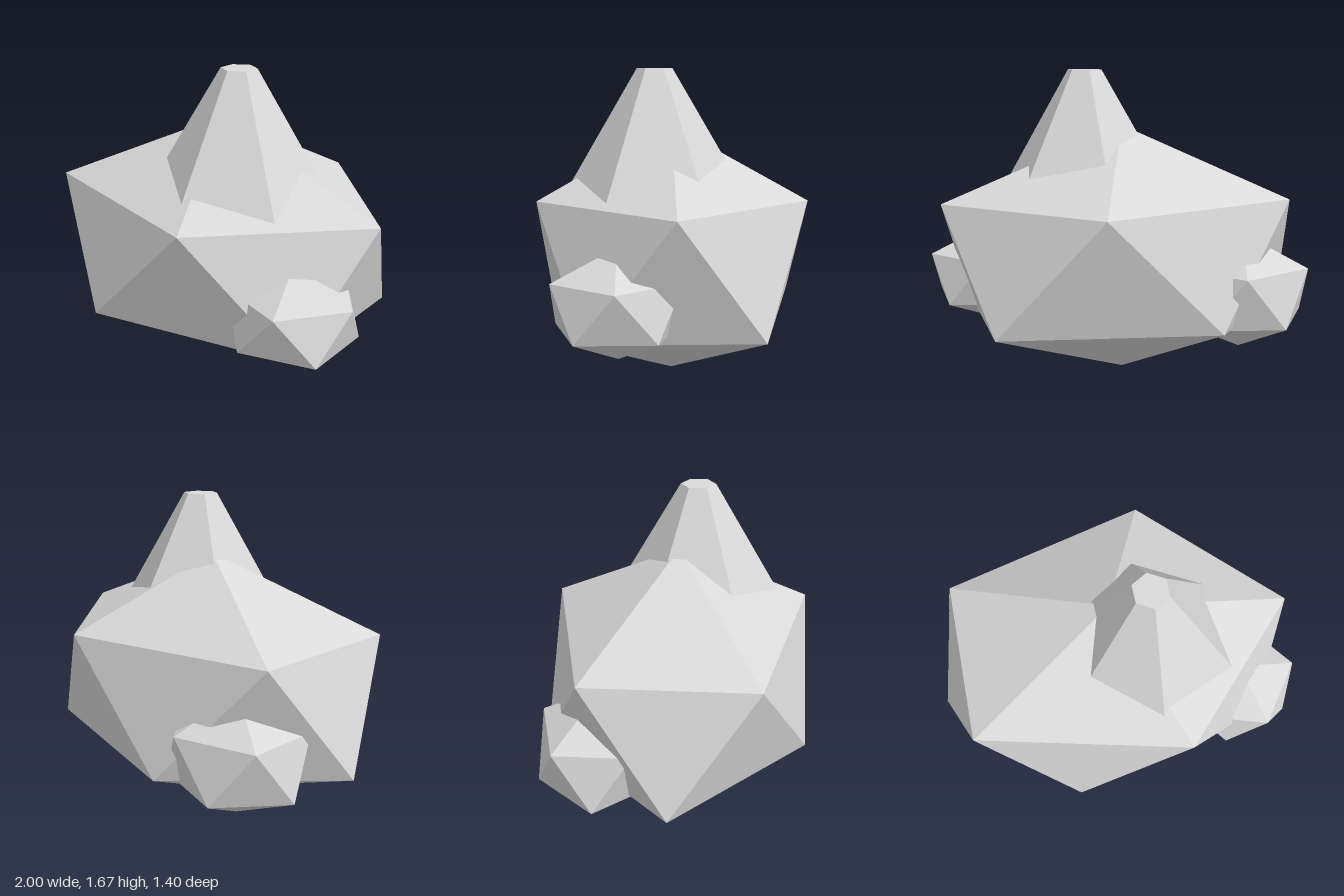
import * as THREE from 'three';

const stone = new THREE.MeshStandardMaterial({ color: 0xd9d9d9, flatShading: true });
stone.name = 'pale stone grey';

// Icosahedron standing on a corner, stretched to radii (rx, ry, rz)
function rock(name, [rx, ry, rz], [x, y, z]) {
  const ring = (i, offset, h) => {
    const a = (i + offset) * Math.PI * 2 / 5, r = 2 / Math.sqrt(5);
    return [rx * r * Math.cos(a), ry * h, rz * r * Math.sin(a)];
  };
  const upper = i => ring(i, 0, 1 / Math.sqrt(5));
  const lower = i => ring(i, 0.5, -1 / Math.sqrt(5));
  const top = [0, ry, 0], bottom = [0, -ry, 0];
  const points = [];
  for (let i = 0; i < 5; i++) {
    points.push(
      top, upper(i + 1), upper(i),
      upper(i), upper(i + 1), lower(i),
      lower(i), upper(i + 1), lower(i + 1),
      bottom, lower(i), lower(i + 1),
    );
  }
  const geometry = new THREE.BufferGeometry();
  geometry.setAttribute('position', new THREE.Float32BufferAttribute(points.flat(), 3));
  geometry.computeVertexNormals();
  const mesh = new THREE.Mesh(geometry, stone);
  mesh.name = name;
  mesh.position.set(x, y, z);
  return mesh;
}

export function createModel() {
  const model = new THREE.Group();
  model.name = 'rockCluster';

  // Large boulder with two small rocks sunk into its sides
  model.add(
    rock('boulder', [1.1, 0.689, 0.825], [-0.016, 0.689, 0]),
    rock('frontSideRock', [0.375, 0.275, 0.366], [0.665, 0.552, 0.275]),
    rock('backSideRock', [0.415, 0.317, 0.366], [-0.565, 0.504, -0.37]),
  );

  // Six-sided blunt spike, rooted inside the boulder
  const topY = 1.675, rootY = 0.95;
  const spike = new THREE.Mesh(new THREE.CylinderGeometry(0.093, 0.52, topY - rootY, 6), stone);
  spike.name = 'spike';
  spike.position.set(0.167, (topY + rootY) / 2, 0.09);
  model.add(spike);

  return model;
}
